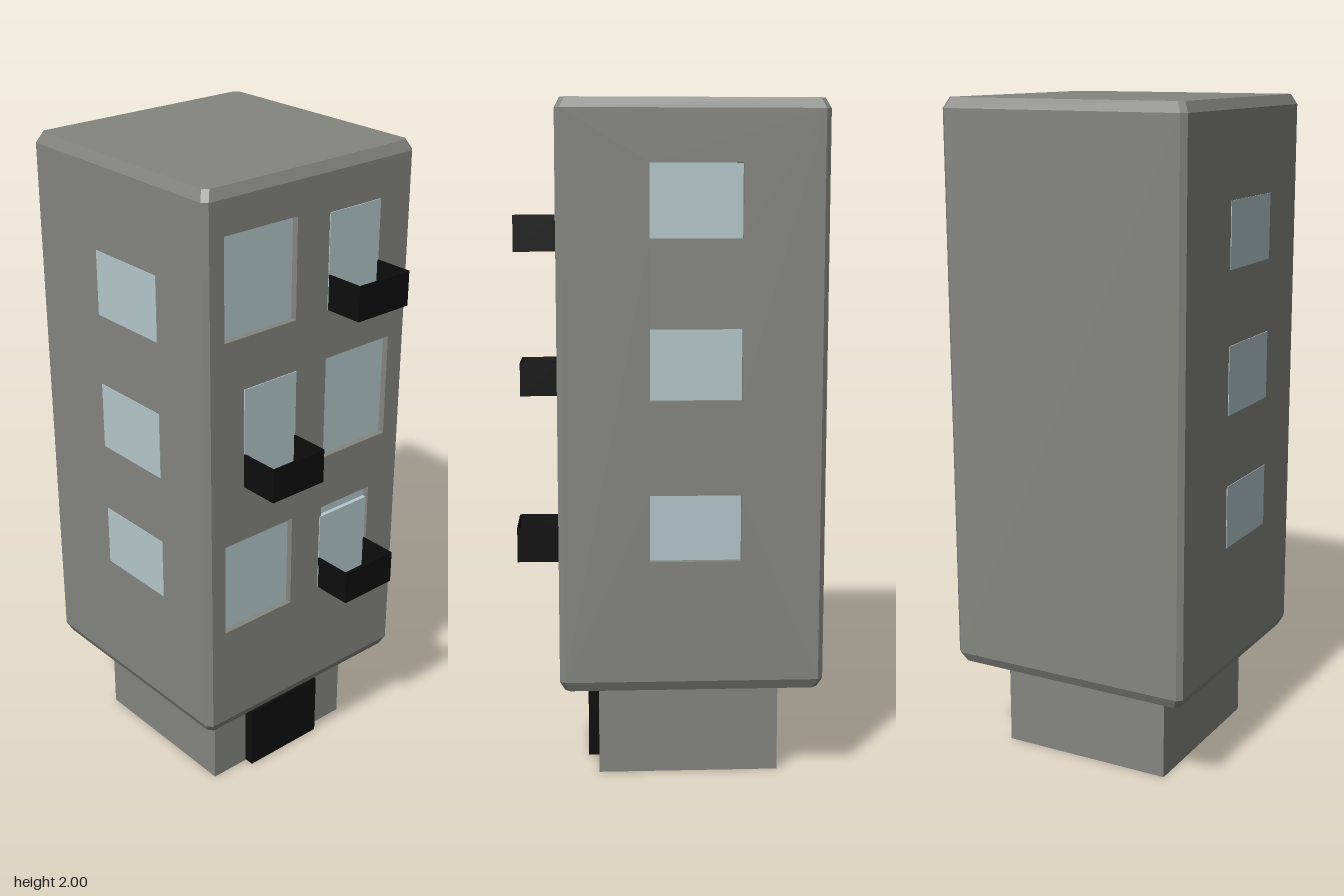
import * as THREE from 'three';

const wallMat = new THREE.MeshStandardMaterial({ color: 0x858580, flatShading: true });
const glassMat = new THREE.MeshStandardMaterial({ color: 0xb5c8cc });
const blackMat = new THREE.MeshStandardMaterial({ color: 0x0d0d0d });

// Box given by its limits on each axis
function block(name, mat, [x0, x1], [y0, y1], [z0, z1]) {
  const m = new THREE.Mesh(new THREE.BoxGeometry(x1 - x0, y1 - y0, z1 - z0), mat);
  m.position.set((x0 + x1) / 2, (y0 + y1) / 2, (z0 + z1) / 2);
  m.name = name;
  return m;
}

const X0 = -0.385, X1 = 0.39, Z0 = -0.45, Z1 = 0.325, C = 0.015;
const LOW = 0.32, HIGH = 1.97, SLAB = 0.025, RECESS = 0.02;

// Eight-cornered outline, starting at the front and running round by +x
function ring(y, x0, x1, z0, z1) {
  return [
    [x0 + C, z1], [x1 - C, z1], [x1, z1 - C], [x1, z0 + C],
    [x1 - C, z0], [x0 + C, z0], [x0, z0 + C], [x0, z1 - C],
  ].map(([x, z]) => [x, y, z]);
}

// Bevelled tower shell, left open where the windowed walls go
function towerShell() {
  const rings = [
    ring(0.27, -0.27, 0.275, -0.33, 0.21),
    ring(0.29, X0 + C, X1 - C, Z0 + C, Z1 - C),
    ring(LOW, X0, X1, Z0, Z1),
    ring(HIGH, X0, X1, Z0, Z1),
    ring(2, X0 + C, X1 - C, Z0 + C, Z1 - C),
  ];
  const pos = [];
  const tri = (...points) => points.forEach((p) => pos.push(...p));
  for (let r = 0; r < rings.length - 1; r++) {
    for (let k = 0; k < 8; k++) {
      if (r === 2 && (k === 0 || k === 2)) continue;
      const n = (k + 1) % 8, lo = rings[r], up = rings[r + 1];
      tri(lo[k], lo[n], up[n]);
      tri(lo[k], up[n], up[k]);
    }
  }
  for (let k = 1; k < 7; k++) {
    tri(rings[4][0], rings[4][k], rings[4][k + 1]);
    tri(rings[0][0], rings[0][k + 1], rings[0][k]);
  }
  const g = new THREE.BufferGeometry();
  g.setAttribute('position', new THREE.Float32BufferAttribute(pos, 3));
  g.computeVertexNormals();
  const m = new THREE.Mesh(g, wallMat);
  m.name = 'towerShell';
  return m;
}

function rect(Type, x0, x1, y0, y1) {
  return new Type([[x0, y0], [x1, y0], [x1, y1], [x0, y1]].map(([x, y]) => new THREE.Vector2(x, y)));
}

// Wall with openings and recessed panes; its outer face lies on local z = 0
function windowWall(name, u0, u1, openings) {
  const wall = new THREE.Group();
  wall.name = name;
  const shape = rect(THREE.Shape, u0, u1, LOW, HIGH);
  openings.forEach((o) => shape.holes.push(rect(THREE.Path, ...o)));
  const g = new THREE.ExtrudeGeometry(shape, { depth: SLAB, bevelEnabled: false });
  g.translate(0, 0, -SLAB);
  const slab = new THREE.Mesh(g, wallMat);
  slab.name = name + 'Slab';
  wall.add(slab);
  for (const [a, b, c, d] of openings) {
    wall.add(block('windowPane', glassMat, [a, b], [c, d], [-SLAB - 0.01, -RECESS]));
  }
  return wall;
}

// Open-topped balcony with thin walls, joined to the front wall
function balcony(x0, x1, y0, y1) {
  const b = new THREE.Group(), t = 0.004, front = 0.45;
  b.name = 'balcony';
  b.add(
    block('balconyFloor', blackMat, [x0, x1], [y0, y0 + t], [Z1, front]),
    block('balconyFront', blackMat, [x0, x1], [y0, y1], [front - t, front]),
    block('balconySide', blackMat, [x0, x0 + t], [y0, y1], [Z1, front]),
    block('balconySide', blackMat, [x1 - t, x1], [y0, y1], [Z1, front]),
  );
  return b;
}

export function createModel() {
  const model = new THREE.Group();
  model.name = 'towerBlock';

  // Ground floor and entrance
  model.add(block('base', wallMat, [-0.27, 0.275], [0, 0.275], [-0.33, 0.21]));
  model.add(block('entranceDoor', blackMat, [-0.14, 0.14], [0.003, 0.213], [0.2, 0.242]));

  model.add(towerShell());

  // Front wall: large windows and the opening behind the lowest balcony
  const front = windowWall('frontWall', X0 + C, X1 - C, [
    [-0.32, -0.06, 1.57, 1.87],
    [0.06, 0.315, 1.1, 1.42],
    [-0.32, -0.06, 0.64, 0.935],
    [0.06, 0.26, 0.67, 0.93],
  ]);
  front.position.z = Z1;
  model.add(front);

  // Left wall windows
  const left = windowWall('leftWall', -(Z1 - C), -(Z0 + C), [
    [-0.06, 0.205, 1.61, 1.82],
    [-0.06, 0.205, 1.15, 1.355],
    [-0.06, 0.205, 0.68, 0.875],
  ]);
  left.rotation.y = Math.PI / 2;
  left.position.x = X1;
  model.add(left);

  // Right wall panes, almost flush
  for (const [y0, y1] of [[1.525, 1.72], [1.1, 1.305], [0.695, 0.885]]) {
    model.add(block('rightWindowPane', glassMat, [X0 - 0.002, X0 + 0.01], [y0, y1], [-0.157, 0.115]));
  }

  // Balconies with their glass doors
  for (const [x0, x1, y0, top] of [
    [0.06, 0.255, 1.57, 1.855],
    [-0.25, -0.057, 1.11, 1.415],
    [0.053, 0.248, 0.65, 0.9],
  ]) {
    model.add(balcony(x0, x1, y0, y0 + 0.105));
    model.add(block('balconyDoor', glassMat, [x0, x1], [y0, top], [Z1 - 0.01, Z1 + 0.003]));
  }
  return model;
}
